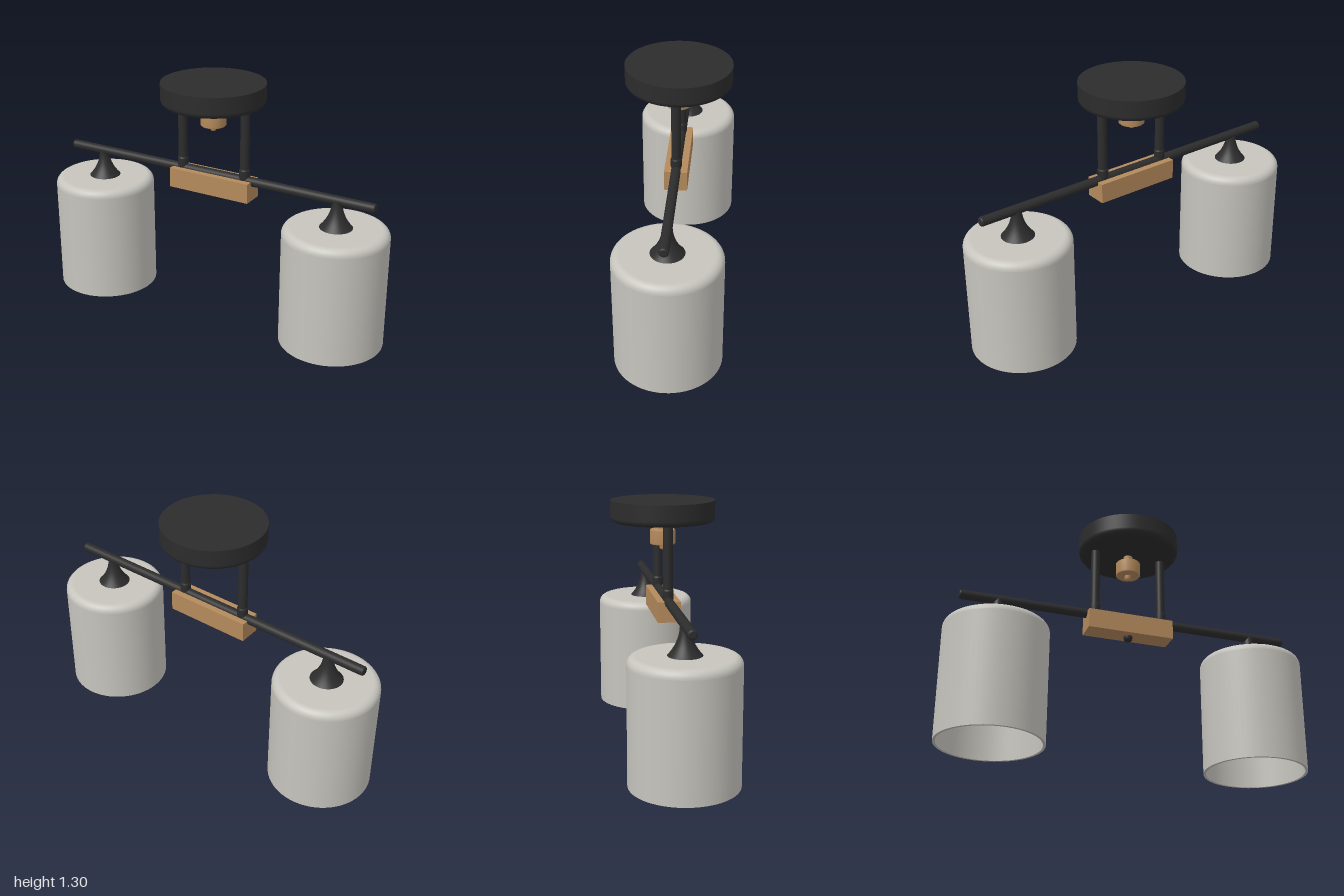
import * as THREE from 'three';

export function createModel() {
  const model = new THREE.Group();
  model.name = 'ceilingLamp';

  const makeMat = (name, color) => {
    const m = new THREE.MeshStandardMaterial({ color });
    m.name = name;
    return m;
  };
  const black = makeMat('matteBlack', 0x2c2c2c);
  const wood = makeMat('warmWood', 0xb48a5c);
  const shadeGrey = makeMat('shadeGrey', 0xc6c4bd);

  const add = (name, geometry, material, x = 0, y = 0, z = 0) => {
    const mesh = new THREE.Mesh(geometry, material);
    mesh.name = name;
    mesh.position.set(x, y, z);
    model.add(mesh);
    return mesh;
  };

  // Turned solid; a repeated profile point makes a sharp edge
  const turned = (profile, segments = 48) =>
    new THREE.LatheGeometry(profile.map(([r, y]) => new THREE.Vector2(r, y)), segments);

  // Quarter-round corner points, centred on (r, y)
  const corner = (r, y, radius, from, to, steps = 6) =>
    Array.from({ length: steps + 1 }, (_, i) => {
      const a = from + ((to - from) * i) / steps;
      return [r + radius * Math.cos(a), y + radius * Math.sin(a)];
    });
  const Q = Math.PI / 2;

  // Ceiling canopy with a rounded lower edge
  add('canopy', turned([
    [0, 1.19], [0.247, 1.19], ...corner(0.247, 1.22, 0.03, -Q, 0),
    [0.277, 1.305], [0.277, 1.305], [0, 1.305],
  ], 64), black);

  // Small turned knob and its threaded stem under the canopy
  add('canopyKnob', turned([
    [0, 1.04], [0.012, 1.042], [0.018, 1.052], [0.018, 1.07], [0.018, 1.07],
    [0.063, 1.07], [0.063, 1.07], [0.068, 1.075], [0.068, 1.145], [0.063, 1.15], [0.063, 1.15],
    [0.025, 1.15], [0.025, 1.15], [0.025, 1.192],
  ]), wood);

  // Horizontal bar with softly rounded ends
  const bar = add('crossBar', turned([
    [0, -0.93], [0.015, -0.93], ...corner(0.015, -0.92, 0.01, -Q, 0, 4),
    ...corner(0.015, 0.92, 0.01, 0, Q, 4), [0, 0.93],
  ], 32), black, 0, 0.798);
  bar.rotation.z = -Q;

  // Wooden block below the bar and its finial
  add('woodBlock', new THREE.BoxGeometry(0.478, 0.108, 0.12), wood, 0, 0.749);
  add('blockFinial', turned([
    [0, 0.667], [0.014, 0.667], [0.022, 0.675], [0.024, 0.685], [0.024, 0.697],
  ], 24), black);

  for (const side of [-1, 1]) {
    const label = side > 0 ? 'left' : 'right';

    // Upright rod with a collar at its foot
    add(label + 'Rod', new THREE.CylinderGeometry(0.025, 0.025, 0.395, 32), black, side * 0.19, 0.995);
    add(label + 'Collar', turned([
      [0.025, 0.8], [0.029, 0.815], [0.029, 0.855], [0.029, 0.855], [0.025, 0.863],
    ], 32), black, side * 0.19);

    // Flared neck between the bar and the shade
    add(label + 'Neck', turned([
      [0.088, 0.648], [0.076, 0.661], [0.062, 0.68], [0.05, 0.7],
      [0.04, 0.722], [0.032, 0.747], [0.027, 0.772], [0.025, 0.8],
    ]), black, side * 0.722);

    // Open-bottomed shade with inner and outer walls
    add(label + 'Shade', turned([
      [0, 0.636], [0.236, 0.636], ...corner(0.236, 0.608, 0.028, Q, 0),
      [0.264, 0], [0.264, 0], [0.278, 0], [0.278, 0],
      [0.278, 0.608], ...corner(0.236, 0.608, 0.042, 0, Q, 8), [0, 0.65],
    ], 64), shadeGrey, side * 0.722);
  }

  return model;
}
